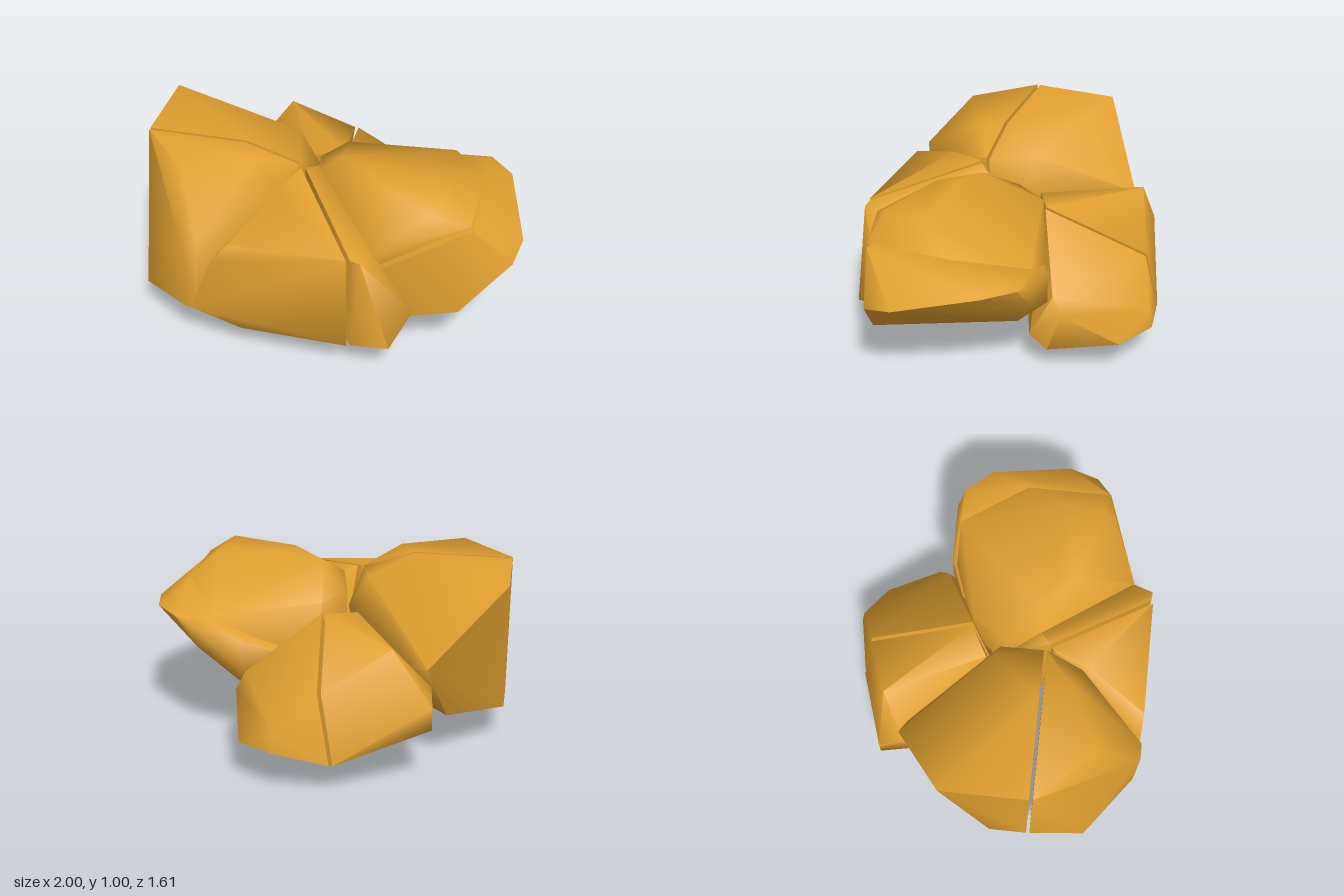
import * as THREE from 'three';
import { ConvexGeometry } from 'three/addons/geometries/ConvexGeometry.js';
import { toCreasedNormals } from 'three/addons/utils/BufferGeometryUtils.js';

const material = new THREE.MeshStandardMaterial({ color: 0xe0a030 });

// One solid chunk: the hull of its corners, softly shaded, sharp at its rims.
function chunk(name, corners) {
  const hull = new ConvexGeometry(corners.map((c) => new THREE.Vector3(...c)));
  const mesh = new THREE.Mesh(toCreasedNormals(hull, 1.25), material);
  mesh.name = name;
  return mesh;
}

// A boulder split in two: both halves share the outline of the crack,
// each pulled back from it by half the gap.
function splitBoulder(name, crack, gap, firstCorners, secondCorners) {
  const boulder = new THREE.Group();
  boulder.name = name;
  const shift = (s) => crack.map((p) => p.map((v, i) => v + s * gap[i] / 2));
  boulder.add(
    chunk(name + 'FirstHalf', [...firstCorners, ...shift(1)]),
    chunk(name + 'SecondHalf', [...secondCorners, ...shift(-1)]),
  );
  return boulder;
}

export function createModel() {
  const model = new THREE.Group();
  model.name = 'splitBoulders';

  // Tall boulder on the right, split by an upright crack across z
  model.add(splitBoulder('tallBoulder',
    [[-1, 1, 0.26], [-0.47, 1, 0.26], [-0.19, 0.91, 0.26], [-0.18, 0.5, 0.26], [-0.4, 0.36, 0.26], [-1, 0.21, 0.26]],
    [0, 0, -0.018],
    [
      [-1, 1, -0.2], [-0.25, 0.94, 0], [-0.14, 0.76, 0.02], [-0.62, 0.62, -0.47],
      [-0.55, 0.6, -0.43], [-1, 0.21, 0.05], [-0.71, 0.28, -0.265], [-0.25, 0.4, 0],
    ],
    [
      [-0.72, 1, 0.57], [-0.38, 1, 0.4], [-0.97, 0.21, 0.56], [-0.66, 0.7, 0.8],
      [-0.58, 0.72, 0.8], [-0.66, 0.29, 0.8], [-0.26, 0.86, 0.46], [-0.6, 0.3, 0.8],
    ]));

  // Front boulder, split by an upright diagonal crack
  model.add(splitBoulder('frontBoulder',
    [[-0.16, 0.9, 0.285], [0.2, 0.75, 0.8], [0.2, 0.2, 0.8], [-0.16, 0.18, 0.27]],
    [-0.018, 0, 0.01],
    [
      [-0.19, 0.9, 0.31], [-0.25, 0.88, 0.49], [-0.42, 0.74, 0.8], [-0.51, 0.62, 0.8],
      [-0.64, 0.29, 0.8], [-0.38, 0.175, 0.77], [-0.25, 0.13, 0.72], [-0.35, 0.4, 0.31],
    ],
    [
      [-0.09, 0.89, 0.23], [0.29, 0.74, 0.69], [0.26, 0.74, 0.8], [0.41, 0.22, 0.8],
      [0.5, 0.34, 0.62], [0.35, 0.22, 0.3], [-0.13, 0.66, 0.06], [-0.08, 0.19, 0.15],
    ]));

  // Left boulder: a cap over a larger base, parted by a sloping crack
  model.add(splitBoulder('leftBoulder',
    [
      [0.3, 0.63, 0.69], [0.76, 0.845, 0.53], [0.76, 0.845, 0.08], [0.56, 0.75, -0.27],
      [0.35, 0.65, -0.27], [0, 0.49, -0.14], [-0.11, 0.44, 0.05], [-0.08, 0.45, 0.25],
    ],
    [-0.012, 0.025, 0],
    [
      [0.62, 0.965, 0.28], [0.6, 0.965, 0.5], [0.55, 0.92, 0.57], [0.22, 0.965, 0.38],
      [0.19, 0.965, 0.27], [0.03, 0.95, 0.2], [-0.08, 0.88, 0.24], [-0.13, 0.82, 0.05],
      [-0.02, 0.82, -0.13], [0.3, 0.73, 0.7],
    ],
    [
      [1, 0.65, 0.3], [0.97, 0.61, 0.46], [0.88, 0.75, -0.13], [0.74, 0.78, -0.2],
      [0.75, 0.75, -0.27], [0.67, 0.72, -0.3], [0.38, 0.63, -0.3], [0.72, 0.32, 0.55],
      [0.3, 0.29, 0.67], [0.36, 0.2, 0.24], [0.4, 0.31, -0.14], [0.62, 0.59, -0.3],
      [0.38, 0.46, -0.3], [0, 0.32, 0.02],
    ]));

  // Back boulder, lowest of all, split by an upright crack
  model.add(splitBoulder('backBoulder',
    [[-0.03, 0.765, -0.14], [-0.1, 0.55, -0.69], [-0.17, 0.18, -0.75], [-0.2, 0, -0.3], [-0.16, 0.27, 0.02]],
    [-0.02, 0, 0],
    [
      [-0.2, 0.75, -0.05], [-0.45, 0.76, -0.56], [-0.5, 0.52, -0.2], [-0.64, 0.52, -0.45],
      [-0.66, 0.46, -0.58], [-0.66, 0.34, -0.58], [-0.55, 0.25, -0.16], [-0.45, 0.15, -0.3],
      [-0.3, 0.04, -0.25],
    ],
    [
      [0.12, 0.36, -0.78], [0.12, 0.25, -0.8], [0.32, 0.24, -0.68], [0.4, 0.4, -0.38],
      [0.36, 0.48, -0.32], [0.38, 0.15, -0.3], [0.38, 0.22, -0.2],
    ]));

  return model;
}
